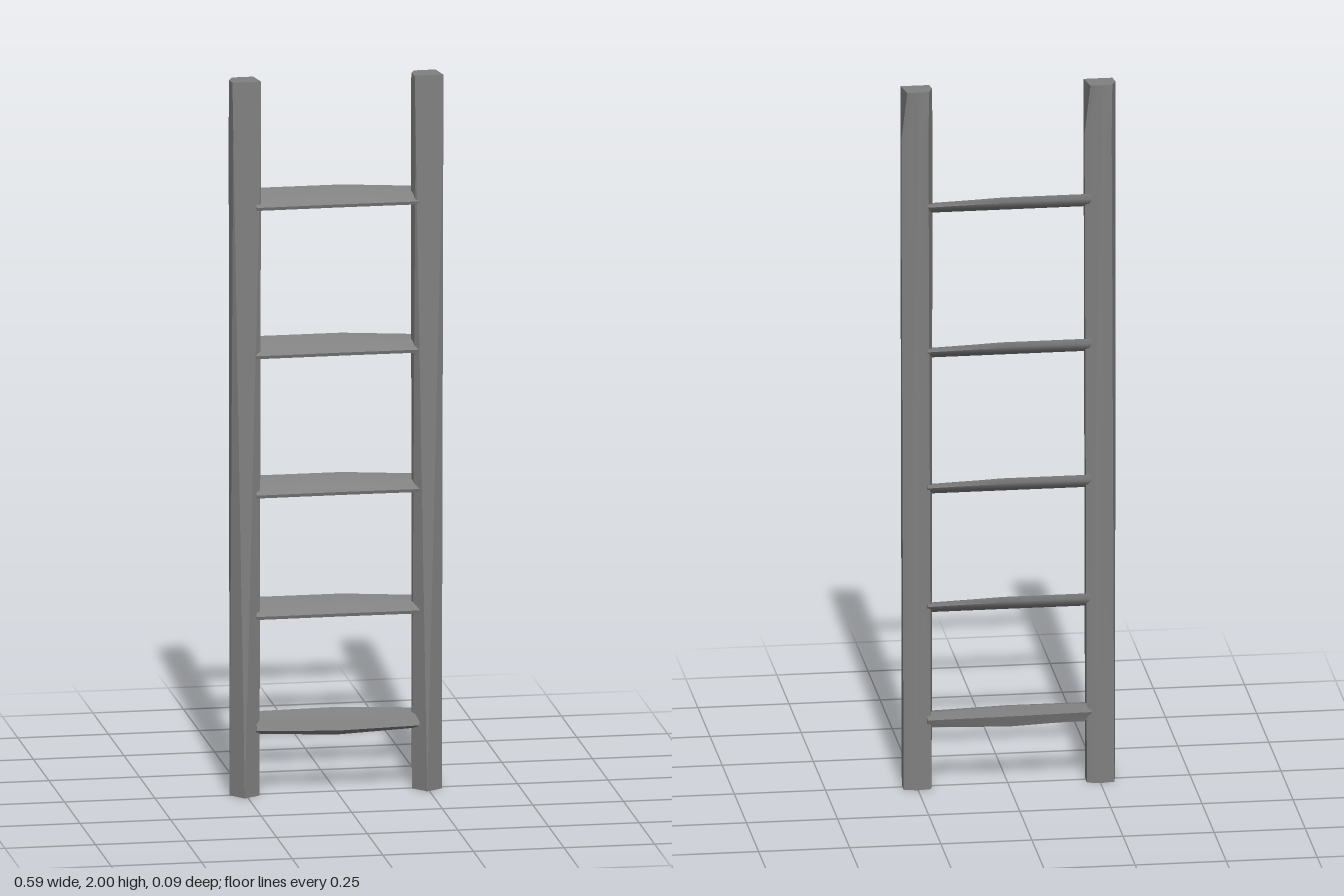
import * as THREE from 'three';
import { toCreasedNormals } from 'three/addons/utils/BufferGeometryUtils.js';

const grey = new THREE.MeshStandardMaterial({ color: 0x808080 });
grey.name = 'weathered grey';

// Skins a list of equal-length rings of [x, y, z] points and caps both ends.
function loft(rings, crease) {
  const n = rings[0].length, last = rings.length - 1, index = [];
  for (let r = 0; r < last; r++) {
    for (let i = 0; i < n; i++) {
      const a = r * n + i, b = r * n + (i + 1) % n;
      index.push(a, b, b + n, a, b + n, a + n);
    }
  }
  for (let i = 1; i < n - 1; i++) {
    index.push(0, i + 1, i);
    index.push(last * n, last * n + i, last * n + i + 1);
  }
  const g = new THREE.BufferGeometry();
  g.setAttribute('position', new THREE.Float32BufferAttribute(rings.flat(2), 3));
  g.setIndex(index);
  return toCreasedNormals(g, crease);
}

function addPart(group, name, geometry, x, y, z) {
  const mesh = new THREE.Mesh(geometry, grey);
  mesh.name = name;
  mesh.position.set(x, y, z);
  group.add(mesh);
}

// Rough-hewn rail: ridged front at the foot, flat front and bevelled back at the top.
function railGeometry() {
  const sections = [
    [0, [[-0.042, 0], [-0.007, 0.044], [0.038, 0.016], [0.039, -0.03], [0, -0.038], [-0.036, -0.032]]],
    [1.86, [[-0.043, -0.008], [-0.036, 0.026], [0.041, 0.024], [0.044, -0.02], [0, -0.048], [-0.028, -0.037]]],
    [2, [[-0.042, -0.008], [-0.038, 0.024], [0.041, 0.024], [0.03, -0.037], [0, -0.037], [-0.03, -0.036]]],
  ];
  return loft(sections.map(([y, pts]) => pts.map(([x, z]) => [x, y, z])), 0.45);
}

// Worn rung: tread slopes down to the front, rounded underneath, right half worn lower.
function rungGeometry() {
  const profile = [[0.034, -0.016], [0.031, -0.025], [0.012, -0.025], [-0.012, -0.018],
    [-0.028, -0.006], [-0.036, 0.009], [-0.034, 0.024], [-0.012, 0.016], [0.012, 0.002]];
  const stations = [[-0.225, 0, 1], [0.02, 0, 0.92], [0.225, 0.012, 0.97]];
  return loft(stations.map(([x, wear, depth]) => profile.map(([z, y]) =>
    [x, y > 0 ? y - wear * y / 0.024 : y, z > 0 ? z * depth : z])), 0.7);
}

// Bottom rung: a split billet, thickest in the middle.
function splitRungGeometry() {
  const profile = [[0.033, -0.018], [0.008, -0.035], [-0.026, -0.026],
    [-0.036, 0.006], [-0.026, 0.034], [0.014, 0.022]];
  const stations = [[-0.225, 0.8, 0.004], [0, 1, 0], [0.225, 0.7, 0]];
  return loft(stations.map(([x, s, lift]) => profile.map(([z, y]) => [x, y * s + lift, z])), 0.3);
}

export function createModel() {
  const group = new THREE.Group();
  group.name = 'ladder';
  const rail = railGeometry(), rung = rungGeometry();
  addPart(group, 'rightRail', rail, -0.2525, 0, 0);
  addPart(group, 'leftRail', rail, 0.25, 0, 0.003);
  [0.52, 0.86, 1.25, 1.665].forEach((y, i) => addPart(group, `rung${i + 2}`, rung, 0, y, 0));
  addPart(group, 'bottomRung', splitRungGeometry(), 0, 0.195, 0);
  return group;
}
